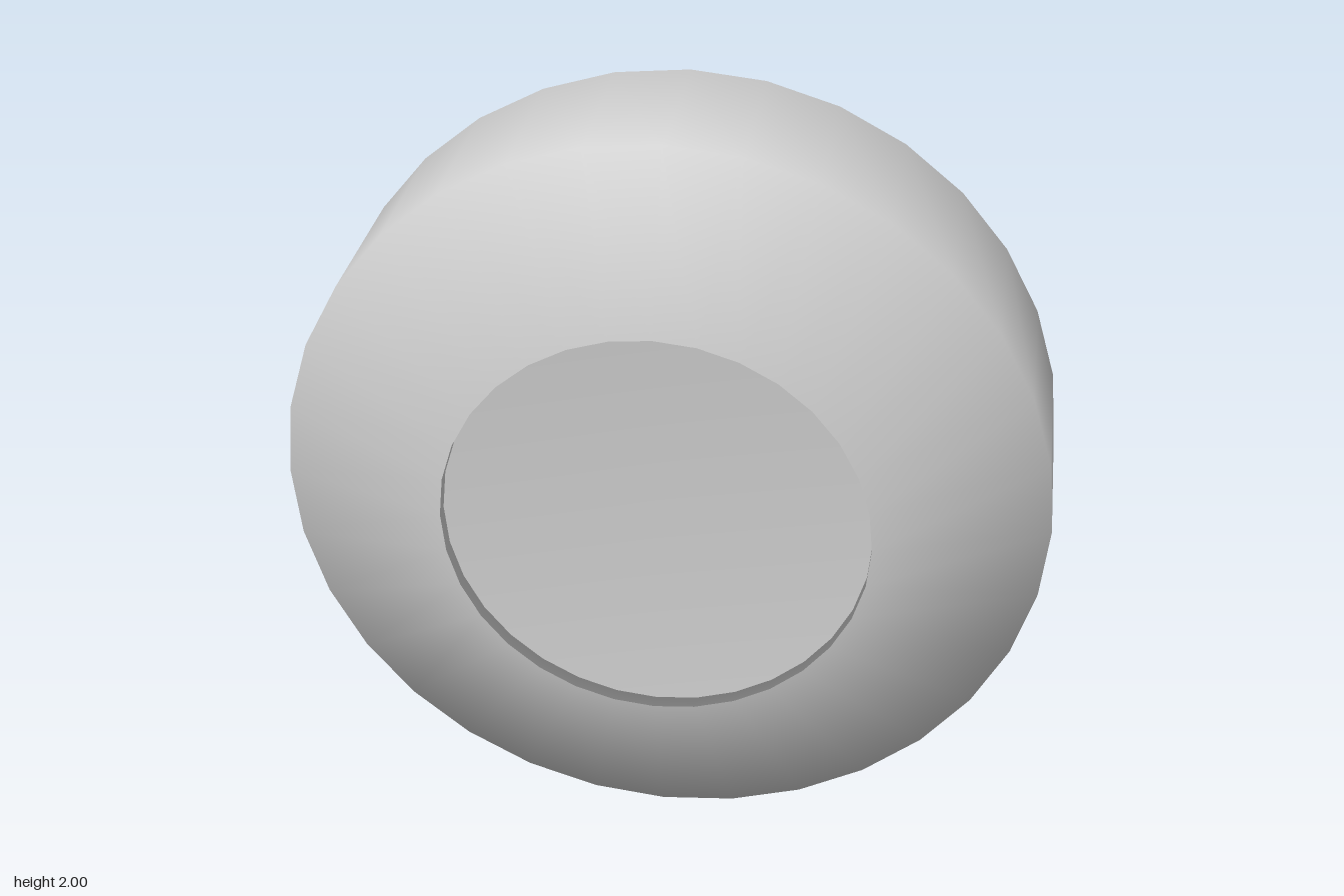
import * as THREE from 'three';

// Thin open-backed round shell, turned around the z axis
export function createModel() {
  const group = new THREE.Group();
  group.name = 'roundCap';

  // [radius, depth] from the open back to the middle of the front
  const profile = [
    [0.965, -0.345], // back lip
    [0.965, -0.28],
    [1, -0.28], // side wall
    [1, 0.19],
    [0.555, 0.345], // sloping front ring
    [0.555, 0.305], // shallow step down to the centre disc
    [0, 0.305],
  ].map(([r, d]) => new THREE.Vector2(r, d));

  const geometry = new THREE.LatheGeometry(profile, 32);
  geometry.rotateX(Math.PI / 2);

  const material = new THREE.MeshStandardMaterial({ color: 0xcccccc, side: THREE.DoubleSide });
  const shell = new THREE.Mesh(geometry, material);
  shell.name = 'shell';
  shell.position.y = 1;
  group.add(shell);
  return group;
}
